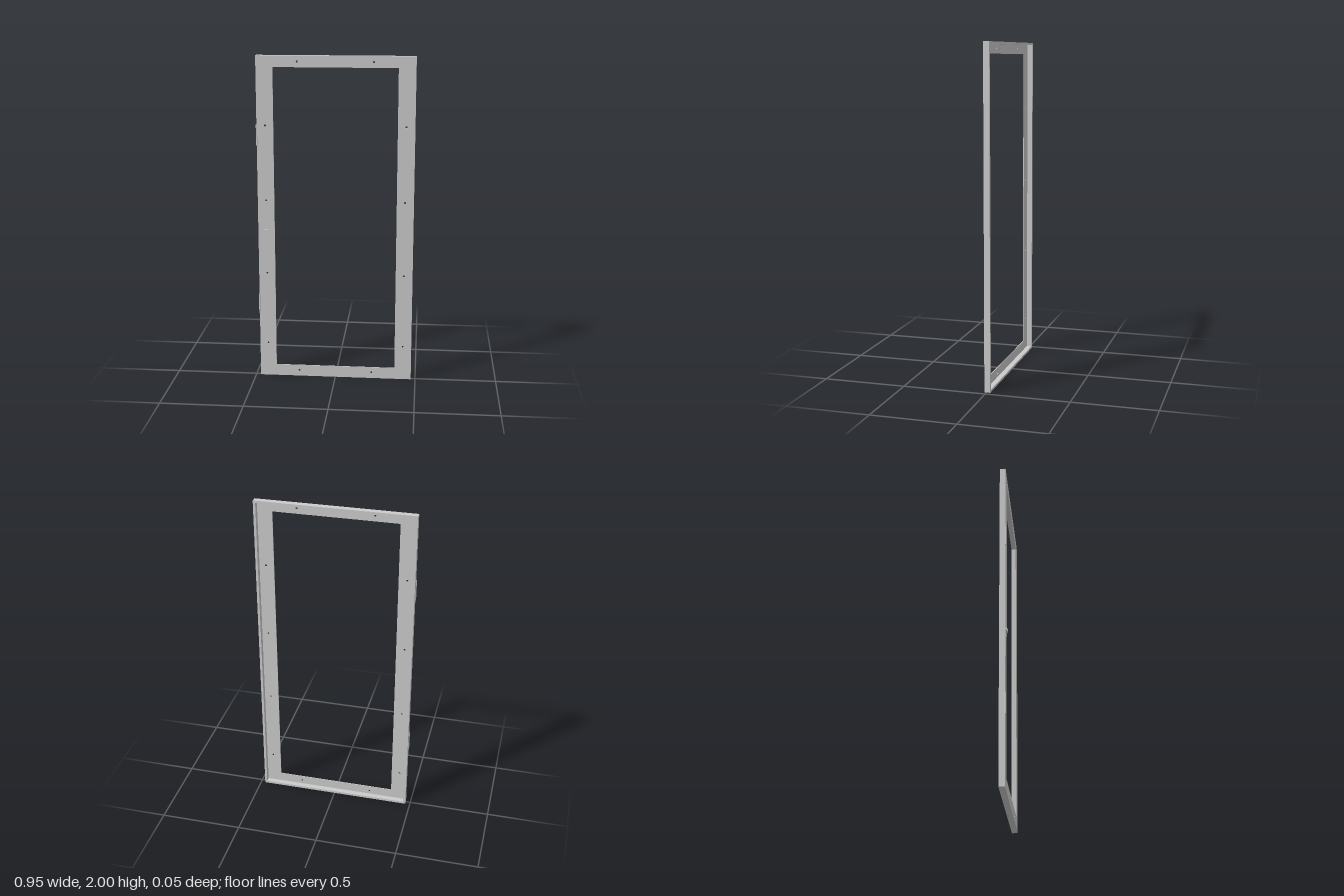
import * as THREE from 'three';

const material = new THREE.MeshStandardMaterial({ color: 0xcccccc, flatShading: true });
const FRONT = 0.0128, BACK = -0.0225, SHEET = 0.004;
const LEFT = 0.473, RIGHT = -0.471, TOP = 2;

// Trace a rectangle onto a Shape or Path
function rect(path, x0, y0, x1, y1) {
  path.moveTo(x0, y0);
  path.lineTo(x1, y0);
  path.lineTo(x1, y1);
  path.lineTo(x0, y1);
  path.closePath();
  return path;
}

// Extrude a shape between two depths
function slab(name, shape, z0, z1) {
  const geometry = new THREE.ExtrudeGeometry(shape, { depth: z1 - z0, bevelEnabled: false, curveSegments: 10 });
  geometry.translate(0, 0, z0);
  const mesh = new THREE.Mesh(geometry, material);
  mesh.name = name;
  return mesh;
}

// Horizontal stadium outline
function stadium(cx, cy, halfLength, r) {
  const s = new THREE.Shape();
  s.absarc(cx + halfLength - r, cy, r, -Math.PI / 2, Math.PI / 2, false);
  s.absarc(cx - halfLength + r, cy, r, Math.PI / 2, Math.PI * 1.5, false);
  s.closePath();
  return s;
}

export function createModel() {
  const door = new THREE.Group();
  door.name = 'doorFrame';

  // Thin front sheet with the window opening and screw holes
  const face = rect(new THREE.Shape(), RIGHT, 0, LEFT, TOP);
  face.holes.push(rect(new THREE.Path(), -0.37, 0.072, 0.37, 1.932));
  const screwHoles = [];
  for (const side of [-1, 1]) {
    for (const y of [0.215, 0.672, 1.13, 1.587]) screwHoles.push([side * 0.42, y]);
    for (const y of [0.038, 1.965]) screwHoles.push([side * 0.226, y]);
  }
  for (const [x, y] of screwHoles) {
    face.holes.push(new THREE.Path().absarc(x, y, 0.006, 0, Math.PI * 2, true));
  }
  door.add(slab('frontSheet', face, FRONT - SHEET, FRONT));

  // Folded rim around the back
  const rimWidth = 0.014;
  const rim = rect(new THREE.Shape(), RIGHT, 0, LEFT, TOP);
  rim.holes.push(rect(new THREE.Path(), RIGHT + rimWidth, rimWidth, LEFT - rimWidth, TOP - rimWidth));
  door.add(slab('backRim', rim, BACK, FRONT - SHEET));

  // Hinge barrels on the right edge
  for (const y of [0.474, 1.53]) {
    const hinge = new THREE.Mesh(new THREE.CylinderGeometry(0.004, 0.004, 0.126, 16), material);
    hinge.name = 'hinge';
    hinge.position.set(RIGHT, y, FRONT + 0.001);
    door.add(hinge);
  }

  // Lock: oval plate with a round cylinder
  const lock = new THREE.Group();
  lock.name = 'lock';
  lock.add(slab('lockPlate', stadium(-0.42, 0.934, 0.021, 0.0135), FRONT, 0.0195));
  const barrel = new THREE.Mesh(new THREE.CylinderGeometry(0.01, 0.01, 0.004, 20), material);
  barrel.name = 'lockCylinder';
  barrel.rotation.x = Math.PI / 2;
  barrel.position.set(-0.412, 0.934, 0.0205);
  lock.add(barrel);
  door.add(lock);

  return door;
}
